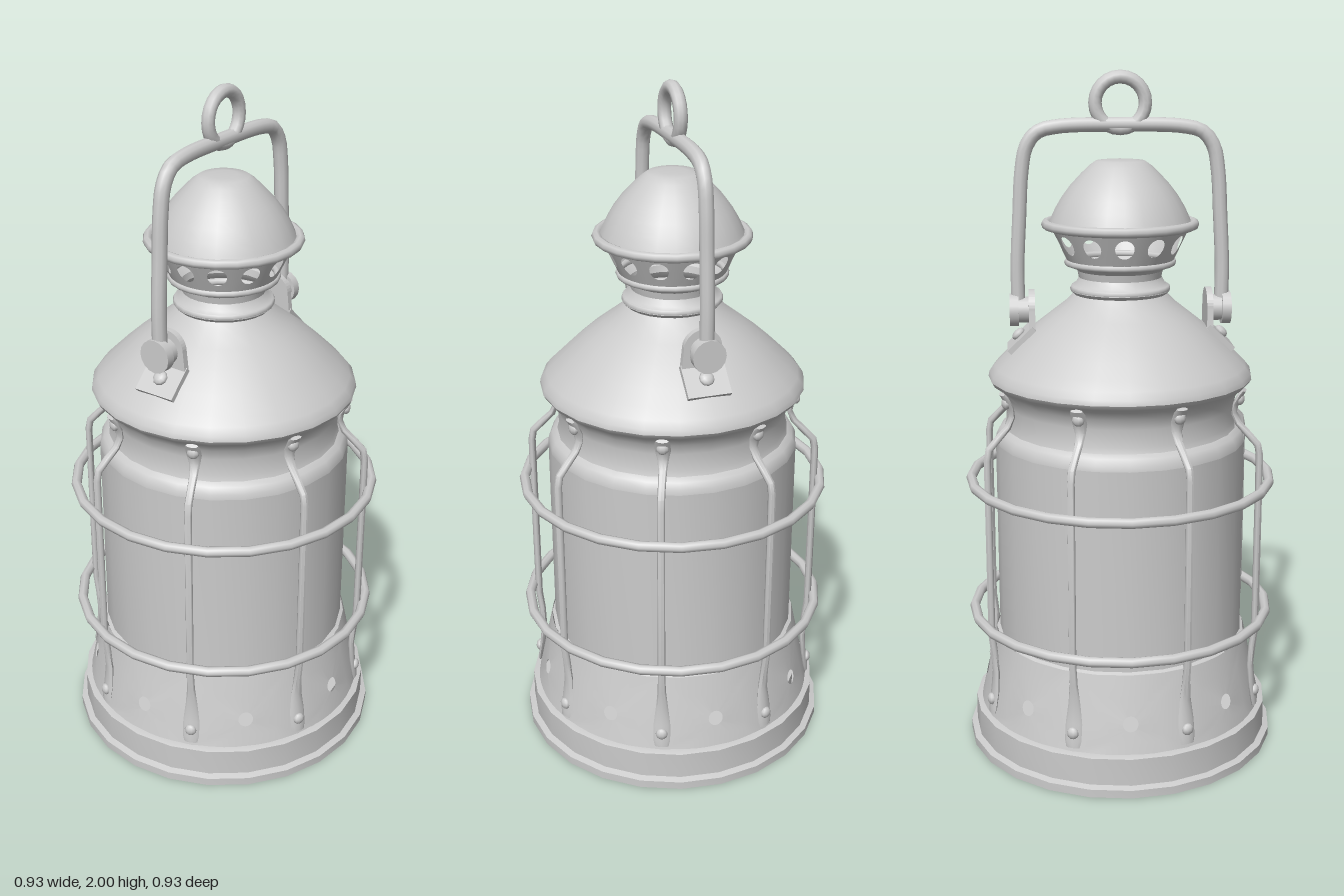
import * as THREE from 'three';
import { toCreasedNormals } from 'three/addons/utils/BufferGeometryUtils.js';

const SIDES = 24;
const solid = new THREE.MeshStandardMaterial({ color: 0xcccccc });
const sheet = new THREE.MeshStandardMaterial({ color: 0xcccccc, side: THREE.DoubleSide });

function add(parent, name, geometry, material = solid) {
  const mesh = new THREE.Mesh(geometry, material);
  mesh.name = name;
  parent.add(mesh);
  return mesh;
}

// Surface of revolution from [radius, y] pairs
function lathe(parent, name, profile) {
  const pts = profile.map(([r, y]) => new THREE.Vector2(r, y));
  return add(parent, name, toCreasedNormals(new THREE.LatheGeometry(pts, SIDES), 0.6), sheet);
}

function hoop(parent, name, radius, tube, y) {
  const g = new THREE.TorusGeometry(radius, tube, 8, SIDES);
  g.rotateX(Math.PI / 2);
  add(parent, name, g).position.y = y;
}

// Conical band with n round holes, each sector lofted from its hole to its border
function piercedBand(r0, y0, r1, y1, n, holeR, holeY) {
  const pos = [], idx = [], M = 32, half = Math.PI / n;
  const vc = (holeY - y0) / (y1 - y0), rc = r0 + (r1 - r0) * vc;
  for (let k = 0; k < n; k++) {
    const base = pos.length / 3;
    for (let j = 0; j < 3; j++) {
      for (let i = 0; i <= M; i++) {
        const t = (i / M) * Math.PI * 2, c = Math.cos(t), s = Math.sin(t);
        const m = Math.max(Math.abs(c), Math.abs(s)), f = j / 2;
        const u = THREE.MathUtils.lerp(holeR * c / (rc * half), c / m, f);
        const v = THREE.MathUtils.lerp(vc + holeR * s / (y1 - y0), 0.5 + s / m / 2, f);
        const a = (2 * k + u) * half, r = r0 + (r1 - r0) * v;
        pos.push(r * Math.sin(a), y0 + (y1 - y0) * v, r * Math.cos(a));
        if (j < 2 && i < M) {
          const p = base + j * (M + 1) + i, q = p + M + 1;
          idx.push(p, q, p + 1, q, q + 1, p + 1);
        }
      }
    }
  }
  const g = new THREE.BufferGeometry();
  g.setAttribute('position', new THREE.Float32BufferAttribute(pos, 3));
  g.setIndex(idx);
  return toCreasedNormals(g, 0.6);
}

// Guard bar: oval section swept along [radius, y, halfWidth, halfThickness] stations
function guardBar() {
  const st = [
    [0.43, 0.13, 0.02, 0.006], [0.427, 0.15, 0.025, 0.008], [0.419, 0.2, 0.025, 0.008],
    [0.414, 0.26, 0.018, 0.009], [0.418, 0.32, 0.012, 0.011], [0.425, 0.38, 0.011, 0.011],
    [0.425, 0.92, 0.011, 0.011], [0.419, 0.95, 0.011, 0.011], [0.39, 0.98, 0.011, 0.011],
    [0.36, 1.01, 0.012, 0.01], [0.347, 1.04, 0.016, 0.008], [0.352, 1.07, 0.022, 0.008],
    [0.368, 1.1, 0.022, 0.008], [0.376, 1.11, 0.018, 0.006],
  ];
  const N = 8, pos = [], idx = [];
  st.forEach(([r, y, w, t], j) => {
    const a = st[Math.max(j - 1, 0)], b = st[Math.min(j + 1, st.length - 1)];
    const len = Math.hypot(b[0] - a[0], b[1] - a[1]);
    const nz = (b[1] - a[1]) / len, ny = -(b[0] - a[0]) / len;
    for (let i = 0; i < N; i++) {
      const q = (i / N) * Math.PI * 2, d = Math.cos(q) * t;
      pos.push(Math.sin(q) * w, y + ny * d, r + nz * d);
      if (j < st.length - 1) {
        const p = j * N + i, p1 = j * N + (i + 1) % N;
        idx.push(p, p1, p + N, p1, p1 + N, p + N);
      }
    }
  });
  const top = (st.length - 1) * N;
  for (let i = 1; i < N - 1; i++) idx.push(0, i + 1, i, top, top + i, top + i + 1);
  const g = new THREE.BufferGeometry();
  g.setAttribute('position', new THREE.Float32BufferAttribute(pos, 3));
  g.setIndex(idx);
  return toCreasedNormals(g, 0.9);
}

// Handle bracket on the +x side: bent plate, pivot disc and rivet
function bracket() {
  const g = new THREE.Group();
  const plate = new THREE.Shape();
  plate.moveTo(-0.062, 1.265);
  plate.lineTo(0.062, 1.265);
  plate.lineTo(0.055, 1.33);
  plate.absarc(0, 1.33, 0.055, 0, Math.PI, false);
  plate.closePath();
  const up = new THREE.ExtrudeGeometry(plate, { depth: 0.018, bevelEnabled: false, curveSegments: 10 });
  up.rotateY(Math.PI / 2);
  add(g, 'bracketPlate', up).position.x = 0.248;

  const foot = add(g, 'bracketFoot', new THREE.BoxGeometry(0.1, 0.016, 0.125));
  foot.position.set(0.288, 1.245, 0);
  foot.rotation.z = -0.76;
  const rivet = add(g, 'bracketRivet', new THREE.SphereGeometry(0.022, 10, 6));
  rivet.scale.y = 0.6;
  rivet.position.set(0.297, 1.254, 0);
  rivet.rotation.z = -0.76;

  for (const [r, x, w] of [[0.038, 0.29, 0.06], [0.048, 0.308, 0.026]]) {
    const c = new THREE.CylinderGeometry(r, r, w, 16);
    c.rotateZ(Math.PI / 2);
    add(g, 'pivotDisc', c).position.set(x, 1.325, 0);
  }
  return g;
}

export function createModel() {
  const model = new THREE.Group();
  model.name = 'lantern';

  // Hollow foot with a recessed floor
  lathe(model, 'base', [
    [0, 0.14], [0.39, 0.14], [0.39, 0], [0.466, 0], [0.466, 0.024],
    [0.448, 0.03], [0.448, 0.112], [0.43, 0.118], [0.42, 0.118],
  ]);
  add(model, 'ventedSkirt', piercedBand(0.43, 0.115, 0.38, 0.34, 8, 0.022, 0.203), sheet);

  // Glass, shoulder and roof
  lathe(model, 'glass', [[0.38, 0.34], [0.37, 0.345], [0.37, 0.94]]);
  lathe(model, 'collar', [
    [0.37, 0.94], [0.368, 0.955], [0.358, 0.973], [0.342, 0.983],
    [0.337, 1.0], [0.336, 1.05], [0.342, 1.08], [0.362, 1.105], [0.38, 1.118],
  ]);
  lathe(model, 'roof', [
    [0.36, 1.105], [0.38, 1.118], [0.387, 1.13], [0.384, 1.145], [0.368, 1.165], [0.345, 1.188],
    [0.3, 1.232], [0.25, 1.277], [0.2, 1.316], [0.16, 1.347], [0.135, 1.372], [0.11, 1.376],
  ]);

  // Chimney neck and vented cap
  lathe(model, 'neck', [
    [0.135, 1.372], [0.145, 1.382], [0.143, 1.394], [0.13, 1.402],
    [0.12, 1.42], [0.124, 1.44], [0.142, 1.455], [0.158, 1.464],
  ]);
  hoop(model, 'neckBead', 0.135, 0.011, 1.387);
  hoop(model, 'ventRim', 0.152, 0.01, 1.463);
  add(model, 'ventBand', piercedBand(0.152, 1.465, 0.203, 1.572, 12, 0.027, 1.52), sheet);
  hoop(model, 'capRim', 0.213, 0.014, 1.572);
  lathe(model, 'capDome', [
    [0.205, 1.575], [0.199, 1.59], [0.186, 1.618], [0.167, 1.65], [0.143, 1.682],
    [0.115, 1.712], [0.09, 1.736], [0.07, 1.75], [0.04, 1.753], [0, 1.753],
  ]);

  // Guard cage
  hoop(model, 'lowerGuardRing', 0.446, 0.015, 0.41);
  hoop(model, 'upperGuardRing', 0.446, 0.015, 0.82);
  const barGeometry = guardBar();
  const rivetGeometry = new THREE.SphereGeometry(0.018, 10, 6);
  for (let i = 0; i < 8; i++) {
    const bar = new THREE.Group();
    bar.name = 'guardBar';
    add(bar, 'bar', barGeometry);
    for (const [y, r] of [[0.175, 0.43], [1.082, 0.364]]) {
      const rivet = add(bar, 'barRivet', rivetGeometry);
      rivet.position.set(0, y, r);
      rivet.scale.z = 0.7;
    }
    bar.rotation.y = (i + 0.5) * Math.PI / 4;
    model.add(bar);
  }

  // Carrying handle with its ring and brackets
  const half = [[0.295, 1.325], [0.296, 1.45], [0.288, 1.6], [0.28, 1.72], [0.266, 1.79], [0.235, 1.83], [0.18, 1.845]];
  const path = [...half.map(([x, y]) => [-x, y]), [0, 1.85], ...half.slice().reverse()]
    .map(([x, y]) => new THREE.Vector3(x, y, 0));
  add(model, 'handle', new THREE.TubeGeometry(new THREE.CatmullRomCurve3(path), 64, 0.021, 10));
  add(model, 'handleRing', new THREE.TorusGeometry(0.071, 0.019, 10, 24)).position.y = 1.91;
  for (const turn of [0, Math.PI]) {
    const b = bracket();
    b.name = turn ? 'rightBracket' : 'leftBracket';
    b.rotation.y = turn;
    model.add(b);
  }
  return model;
}
